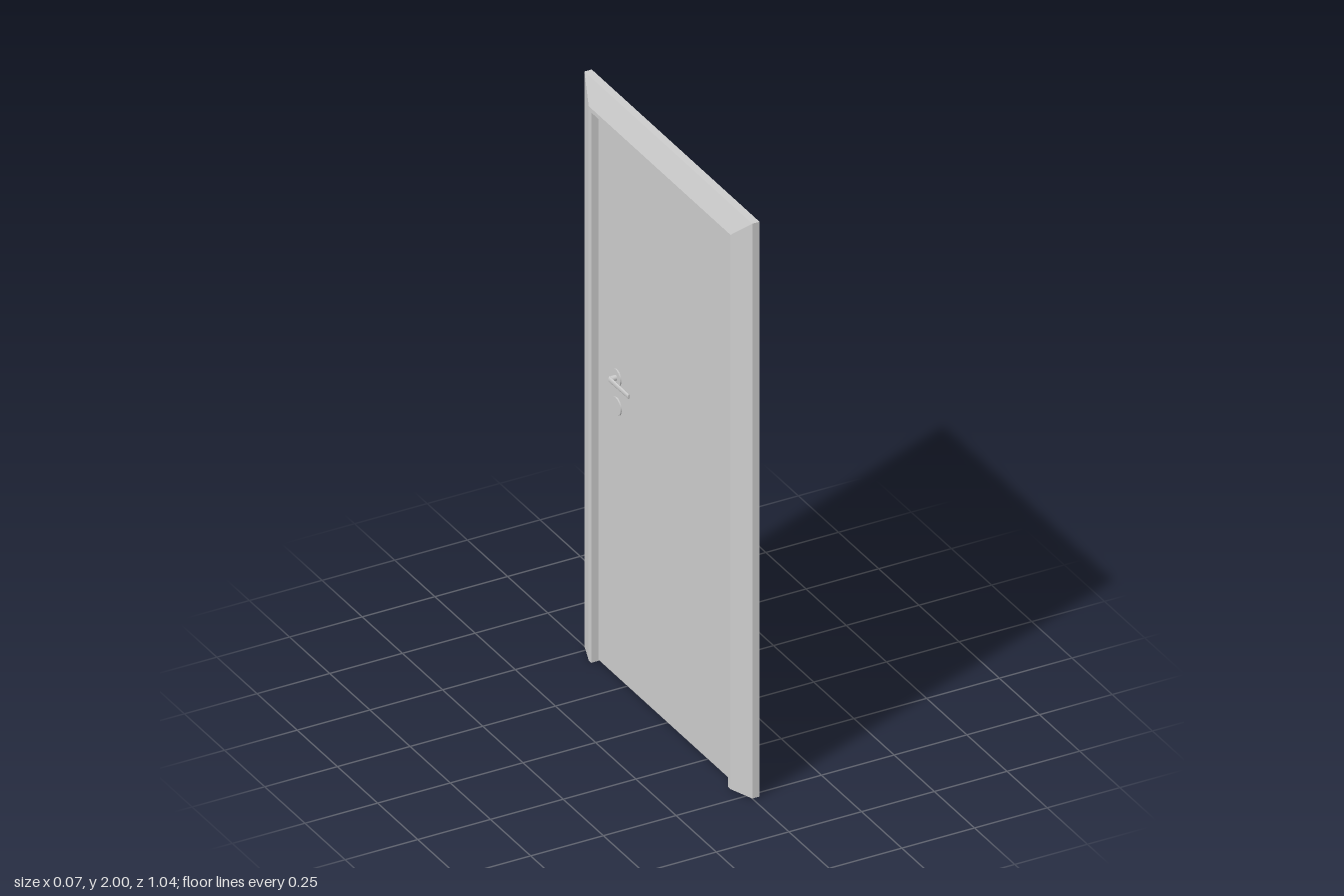
import * as THREE from 'three';

const grey = new THREE.MeshStandardMaterial({ color: 0xcccccc, side: THREE.DoubleSide });

function add(parent, name, geometry, x = 0, y = 0, z = 0) {
  const mesh = new THREE.Mesh(geometry, grey);
  mesh.name = name;
  mesh.position.set(x, y, z);
  parent.add(mesh);
  return mesh;
}

// Folded sheet profile [x, half width], swept up, across and down with mitred corners
function frameGeometry() {
  const profile = [
    [0.025, 0.522], [0, 0.522], [-0.03, 0.441], [-0.03, 0.425], [0.033, 0.425],
    [0.033, 0.429], [-0.026, 0.429], [-0.026, 0.439], [0.003, 0.518], [0.025, 0.518],
  ];
  const n = profile.length;
  const point = (i, station) => {
    const [x, d] = profile[i % n];
    const top = 2 - (0.522 - d) * 0.88;
    return [x, station % 3 === 0 ? 0 : top, station < 2 ? d : -d];
  };
  const positions = [];
  const quad = (a, b, c, d) => positions.push(...a, ...b, ...c, ...a, ...c, ...d);
  for (let s = 0; s < 3; s++) {
    for (let i = 0; i < n; i++) {
      quad(point(i, s), point(i, s + 1), point(i + 1, s + 1), point(i + 1, s));
    }
  }
  // Cut ends at the floor
  for (let i = 0; i < n / 2 - 1; i++) {
    const j = n - 1 - i;
    quad(point(i, 0), point(i + 1, 0), point(j - 1, 0), point(j, 0));
    quad(point(j, 3), point(j - 1, 3), point(i + 1, 3), point(i, 3));
  }
  const geometry = new THREE.BufferGeometry();
  geometry.setAttribute('position', new THREE.Float32BufferAttribute(positions, 3));
  geometry.computeVertexNormals();
  return geometry;
}

// Cylinder whose axis runs along x
function discX(radius, length) {
  return new THREE.CylinderGeometry(radius, radius, length, 24).rotateZ(Math.PI / 2);
}

export function createModel() {
  const model = new THREE.Group();
  model.name = 'door';

  add(model, 'frame', frameGeometry());
  add(model, 'doorLeaf', new THREE.BoxGeometry(0.008, 1.909, 0.848), -0.001, 0.9585, 0);

  // Hinges pass through the jamb
  for (const y of [0.335, 1.585]) {
    const hinge = new THREE.Group();
    hinge.name = 'hinge';
    hinge.position.set(0.006, y, 0.431);
    for (const side of [-1, 1]) {
      add(hinge, 'hingeKnuckle', new THREE.BoxGeometry(0.014, 0.043, 0.026), 0, side * 0.0235, 0);
    }
    add(hinge, 'hingePin', new THREE.CylinderGeometry(0.005, 0.005, 0.09, 16));
    model.add(hinge);
  }

  // Lever handle with its rose, and the lock rose below
  const lock = new THREE.Group();
  lock.name = 'lockSet';
  lock.position.set(0, 1.045, -0.31);
  add(lock, 'handleRose', discX(0.028, 0.005), -0.007, 0, 0);
  add(lock, 'lockRose', discX(0.03, 0.005), -0.007, -0.1, 0);
  add(lock, 'handleNeck', discX(0.009, 0.025), -0.0175, 0, 0);
  const lever = new THREE.CylinderGeometry(0.008, 0.01, 0.12, 16).scale(0.45, 1, 1).rotateX(Math.PI / 2);
  add(lock, 'handleLever', lever, -0.0305, 0, 0.06);
  add(lock, 'spindle', discX(0.01, 0.022), 0.014, 0, 0);
  model.add(lock);

  return model;
}
